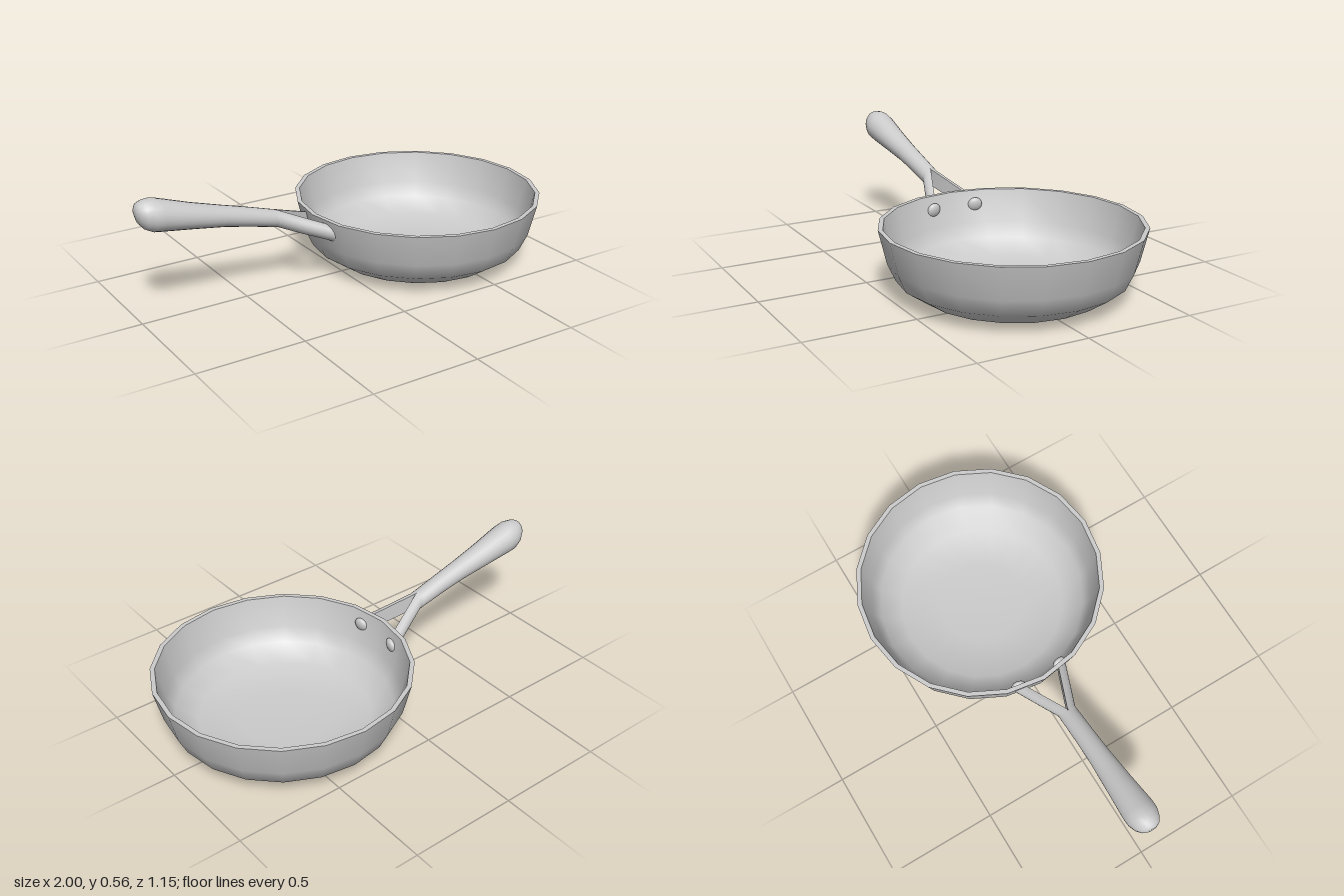
import * as THREE from 'three';
import { toCreasedNormals } from 'three/addons/utils/BufferGeometryUtils.js';

const material = new THREE.MeshStandardMaterial({ color: 0xcccccc });

function addMesh(parent, name, geometry) {
  const mesh = new THREE.Mesh(geometry, material);
  mesh.name = name;
  parent.add(mesh);
  return mesh;
}

// Skin a list of rings running along +x, with a fan cap on both ends.
function loft(rings) {
  const n = rings[0].length;
  const points = rings.flat();
  const index = [];
  for (let i = 0; i < rings.length - 1; i++) {
    for (let j = 0; j < n; j++) {
      const a = i * n + j, b = i * n + (j + 1) % n;
      index.push(a, b, a + n, b, b + n, a + n);
    }
  }
  for (const end of [0, rings.length - 1]) {
    const ring = rings[end];
    const center = ring.reduce((s, p) => s.add(p), new THREE.Vector3()).divideScalar(n);
    const c = points.push(center) - 1;
    for (let j = 0; j < n; j++) {
      const a = end * n + j, b = end * n + (j + 1) % n;
      if (end === 0) index.push(c, b, a);
      else index.push(c, a, b);
    }
  }
  const geometry = new THREE.BufferGeometry().setFromPoints(points);
  geometry.setIndex(index);
  return toCreasedNormals(geometry, 0.75);
}

// Pan bowl: outer wall, rim and inner wall as one turned profile
function createBowl() {
  const profile = [
    [0, 0], [0.2, 0.005], [0.41, 0.022], [0.505, 0.087], [0.541, 0.165], [0.577, 0.315],
    [0.556, 0.315], [0.522, 0.17], [0.488, 0.1], [0.39, 0.042], [0.2, 0.027], [0, 0.022],
  ].map(([r, y]) => new THREE.Vector2(r, y));
  return toCreasedNormals(new THREE.LatheGeometry(profile, 20), 0.75);
}

// Round grip: x, centre y, half height, half width
function createGrip() {
  const sections = [
    [-1, 0.508, 0.02, 0.02], [-0.988, 0.5, 0.045, 0.043], [-0.965, 0.49, 0.063, 0.06],
    [-0.93, 0.482, 0.073, 0.072], [-0.89, 0.474, 0.071, 0.073], [-0.75, 0.44, 0.058, 0.061],
    [-0.6, 0.406, 0.048, 0.05], [-0.48, 0.376, 0.044, 0.046], [-0.35, 0.341, 0.04, 0.044],
  ];
  return loft(sections.map(([x, y, h, w]) => Array.from({ length: 20 }, (_, j) => {
    const a = j / 20 * Math.PI * 2;
    return new THREE.Vector3(x, y + h * Math.cos(a), w * Math.sin(a));
  })));
}

// Fork arm: half-round section, flat on the inside; x, centre y, half height, inner z, width
function createArm(side) {
  const sections = [
    [-0.36, 0.344, 0.04, 0, 0.044], [-0.34, 0.338, 0.04, 0.002, 0.042],
    [-0.24, 0.298, 0.039, 0.043, 0.042], [-0.115, 0.25, 0.037, 0.094, 0.042],
  ];
  return loft(sections.map(([x, y, h, z, w]) => {
    const ring = Array.from({ length: 11 }, (_, j) => {
      const a = j / 10 * Math.PI;
      return new THREE.Vector3(x, y + h * Math.cos(a), side * (z + w * Math.sin(a)));
    });
    return side > 0 ? ring : ring.reverse();
  }));
}

export function createModel() {
  const model = new THREE.Group();
  model.name = 'fryingPan';

  addMesh(model, 'bowl', createBowl()).position.x = 0.42;

  const handle = new THREE.Group();
  handle.name = 'handle';
  model.add(handle);
  addMesh(handle, 'grip', createGrip());
  for (const side of [1, -1]) {
    const label = side > 0 ? 'left' : 'right';
    addMesh(handle, label + 'Arm', createArm(side));

    // Domed rivet head on the inner wall
    const rivet = addMesh(model, label + 'Rivet', new THREE.SphereGeometry(1, 16, 10));
    rivet.scale.set(0.019, 0.035, 0.035);
    rivet.position.set(-0.106, 0.25, side * 0.108);
    rivet.rotation.set(0, side * 0.2, -0.23);
  }
  return model;
}
